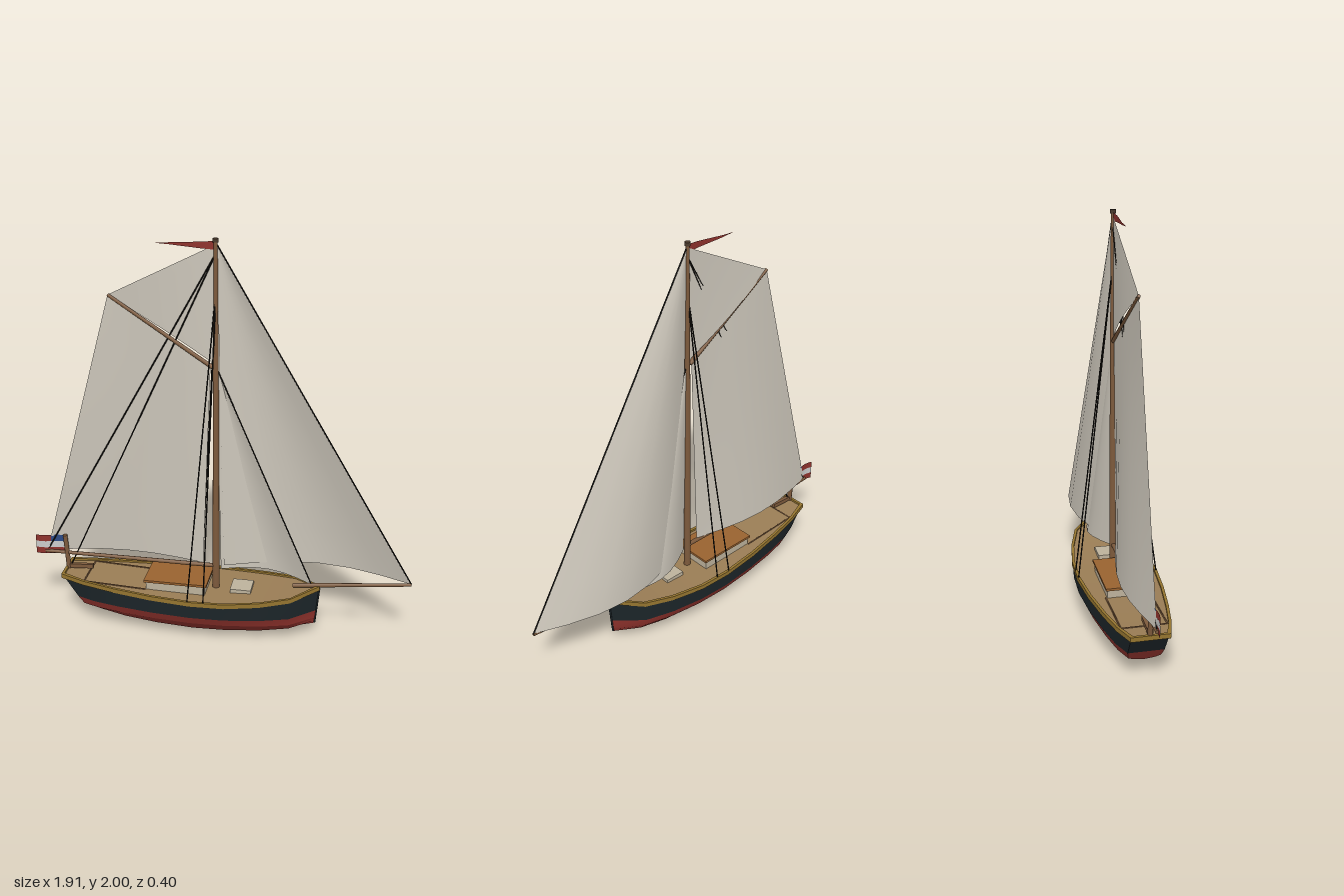
import * as THREE from 'three';
import { toCreasedNormals } from 'three/addons/utils/BufferGeometryUtils.js';

const C = { black: 0x1c2529, red: 0x8f322c, gold: 0x94742f, deck: 0x9a7d55, wood: 0x7d5a3c, roof: 0x99622f,
  cream: 0xbdb29c, sail: 0xcdc7bb, rope: 0x15130f, white: 0xd0d0d0, blue: 0x2c4a85, dark: 0x4a3a2c };

const V = (x, y, z = 0) => new THREE.Vector3(x, y, z);

export function createModel() {
  const model = new THREE.Group();

  function add(name, geometry, color, doubleSided = false) {
    const material = new THREE.MeshStandardMaterial({ color });
    if (doubleSided) material.side = THREE.DoubleSide;
    const mesh = new THREE.Mesh(geometry, material);
    mesh.name = name;
    model.add(mesh);
    return mesh;
  }

  // Surface through a grid of points: point(i, j), i in 0..nu, j in 0..nv
  function grid(nu, nv, point) {
    const pos = [], idx = [];
    for (let i = 0; i <= nu; i++)
      for (let j = 0; j <= nv; j++) pos.push(...point(i, j).toArray());
    for (let i = 0; i < nu; i++)
      for (let j = 0; j < nv; j++) {
        const a = i * (nv + 1) + j, b = a + nv + 1;
        idx.push(a, a + 1, b, b, a + 1, b + 1);
      }
    const g = new THREE.BufferGeometry();
    g.setAttribute('position', new THREE.Float32BufferAttribute(pos, 3));
    g.setIndex(idx);
    g.computeVertexNormals();
    return g;
  }

  // Round spar or rope between two points
  function rod(name, a, b, r1, r2, color, sides = 8) {
    const d = b.clone().sub(a);
    const mesh = add(name, new THREE.CylinderGeometry(r2, r1, d.length(), sides), color);
    mesh.position.copy(a).addScaledVector(d, 0.5);
    mesh.quaternion.setFromUnitVectors(V(0, 1, 0), d.normalize());
    return mesh;
  }

  function box(name, x0, x1, y0, y1, halfZ, color) {
    const mesh = add(name, new THREE.BoxGeometry(x1 - x0, y1 - y0, halfZ * 2), color);
    mesh.position.set((x0 + x1) / 2, (y0 + y1) / 2, 0);
    return mesh;
  }

  // Hull stations from stern to bow: x, half width, sheer height, keel height, rake
  const stations = [
    [-0.80, 0.087, 0.267, 0.082, 0.65],
    [-0.68, 0.122, 0.256, 0.055, 0.45],
    [-0.52, 0.152, 0.247, 0.026, 0.25],
    [-0.32, 0.180, 0.239, 0.008, 0.08],
    [-0.12, 0.196, 0.235, 0.000, 0],
    [0.05, 0.190, 0.235, 0.004, 0],
    [0.22, 0.162, 0.244, 0.016, 0],
    [0.37, 0.117, 0.259, 0.036, -0.05],
    [0.50, 0.004, 0.282, 0.070, -0.09],
  ];
  const last = stations.length - 1;
  // Section levels from sheer to keel: height and share of the half width
  const levels = [
    [s => s[2], 1], [() => 0.145, 0.975], [() => 0.103, 0.87],
    [s => s[3] + (0.103 - s[3]) * 0.42, 0.58], [s => s[3], 0],
  ];
  // The ring runs bow to stern on one side and back on the other
  const ringAt = i => {
    const k = i % (2 * last + 2);
    return k <= last ? [stations[last - k], -1] : [stations[k - last - 1], 1];
  };
  const ringCount = 2 * last + 2;
  function hullBand(name, from, to, color) {
    const g = grid(ringCount, to - from, (i, j) => {
      const [s, side] = ringAt(i);
      const [height, share] = levels[from + j];
      const y = height(s);
      return V(s[0] + s[4] * (s[2] - y), y, side * s[1] * share);
    });
    add(name, toCreasedNormals(g, 0.6), color);
  }
  hullBand('topsides', 0, 1, C.black);
  hullBand('waterlineBand', 1, 2, C.red);
  hullBand('hullBottom', 2, 4, C.red);

  // Gunwale trim, with section points as [height offset, width offset]
  const trim = [[-0.012, -0.010], [0.003, -0.010], [0.003, 0.004], [-0.02, 0.004]];
  add('gunwale', toCreasedNormals(grid(ringCount, 3, (i, j) => {
    const [s, side] = ringAt(i);
    const [dy, dw] = trim[j];
    const endShift = s === stations[0] ? -dw : s === stations[last] ? dw : 0;
    return V(s[0] + endShift, s[2] + dy, side * Math.max(0.001, s[1] + dw));
  }), 0.5), C.gold, true);
  add('deck', grid(last, 2, (i, j) => {
    const s = stations[i];
    return V(s[0], s[2] - 0.007, (j - 1) * s[1] * 0.99);
  }), C.deck);
  rod('stem', V(0.483, 0.075), V(0.502, 0.27), 0.005, 0.005, C.black);

  // Deck structures
  box('cabin', -0.36, -0.06, 0.2, 0.275, 0.1, C.cream);
  box('cabinRoof', -0.37, -0.05, 0.274, 0.286, 0.108, C.roof);
  box('foreHatch', 0.06, 0.165, 0.21, 0.25, 0.055, C.cream);
  for (const z of [-0.107, 0.107])
    rod('cockpitCoaming', V(-0.68, 0.25, z), V(-0.36, 0.236, z), 0.004, 0.004, C.wood, 4);
  rod('cockpitCoamingAft', V(-0.68, 0.25, -0.107), V(-0.68, 0.25, 0.107), 0.004, 0.004, C.wood, 4);
  const tiller = box('tiller', -0.8, -0.66, 0.266, 0.288, 0.009, C.wood);
  tiller.rotation.z = 0.06;

  // Spars
  rod('lowerMast', V(-0.02, 0.22), V(-0.02, 1.28), 0.018, 0.014, C.wood, 12);
  rod('topMast', V(-0.02, 1.28), V(-0.02, 1.985), 0.014, 0.009, C.wood, 12);
  rod('mastCap', V(-0.02, 1.983), V(-0.02, 2), 0.014, 0.014, C.dark, 12);
  rod('bowsprit', V(0.37, 0.274), V(0.95, 0.335), 0.012, 0.008, C.wood);
  rod('boom', V(-0.03, 0.347), V(-0.91, 0.347), 0.011, 0.009, C.wood);
  rod('gaff', V(-0.035, 1.393), V(-0.53, 1.717), 0.011, 0.008, C.wood);

  // Sails: four corners, with a belly that fades towards the head
  function sail(name, footA, footB, headA, headB, belly) {
    const n = 6, m = 8;
    add(name, grid(n, m, (i, j) => {
      const u = i / n, v = j / m;
      const p = footA.clone().lerp(footB, u).lerp(headA.clone().lerp(headB, u), v);
      p.z -= belly * Math.sin(Math.PI * u) * (1 - v);
      return p;
    }), C.sail, true);
  }
  const mastHead = V(-0.015, 1.975), peak = V(-0.53, 1.717);
  sail('mainsail', V(-0.9, 0.352), V(-0.085, 0.357), peak, V(-0.045, 1.4), 0.065);
  sail('topsail', peak, V(-0.035, 1.415), peak.clone(), mastHead, 0.015);
  sail('jib', V(0.02, 0.352), V(0.95, 0.338), mastHead, mastHead, 0.122);
  sail('staysail', V(0.005, 0.33), V(0.46, 0.287), V(-0.015, 1.39), V(-0.015, 1.39), 0.08);

  // Standing rigging
  const rope = (name, a, b) => rod(name, a, b, 0.0035, 0.0035, C.rope, 5);
  rope('jibStay', mastHead, V(0.95, 0.338));
  rope('foreStay', V(-0.015, 1.39), V(0.465, 0.28));
  rope('toppingLift', V(-0.02, 1.93), V(-0.9, 0.35));
  rope('backStay', V(-0.02, 1.93), V(-0.78, 0.27));
  for (const side of [-1, 1])
    for (const x of [-0.13, -0.05])
      rope('shroud', V(-0.02, 1.75), V(x, 0.235, side * 0.194));

  // Pennant at the masthead
  add('pennant', grid(4, 1, (i, j) => {
    const t = i / 4;
    return V(-0.02 - 0.28 * t, 1.968 + (j - 0.5) * 0.04 * (1 - t), 0.004 * Math.sin(t * 6));
  }), C.red, true);

  // Stern flag: three stripes and a blue corner on a short staff
  rod('flagStaff', V(-0.79, 0.26), V(-0.803, 0.445), 0.013, 0.012, C.wood);
  function flagPart(name, x0, x1, y0, y1, color) {
    add(name, grid(6, 1, (i, j) => {
      const x = x0 + (x1 - x0) * i / 6;
      return V(x, (j ? y1 : y0) + (x + 0.8) * 0.05, 0.006 * Math.sin((x + 0.8) * 40));
    }), color, true);
  }
  flagPart('flagTopStripe', -0.96, -0.88, 0.407, 0.442, C.red);
  flagPart('flagCorner', -0.88, -0.8, 0.407, 0.442, C.blue);
  flagPart('flagMiddleStripe', -0.96, -0.8, 0.372, 0.407, C.white);
  flagPart('flagBottomStripe', -0.96, -0.8, 0.338, 0.372, C.red);

  return model;
}
